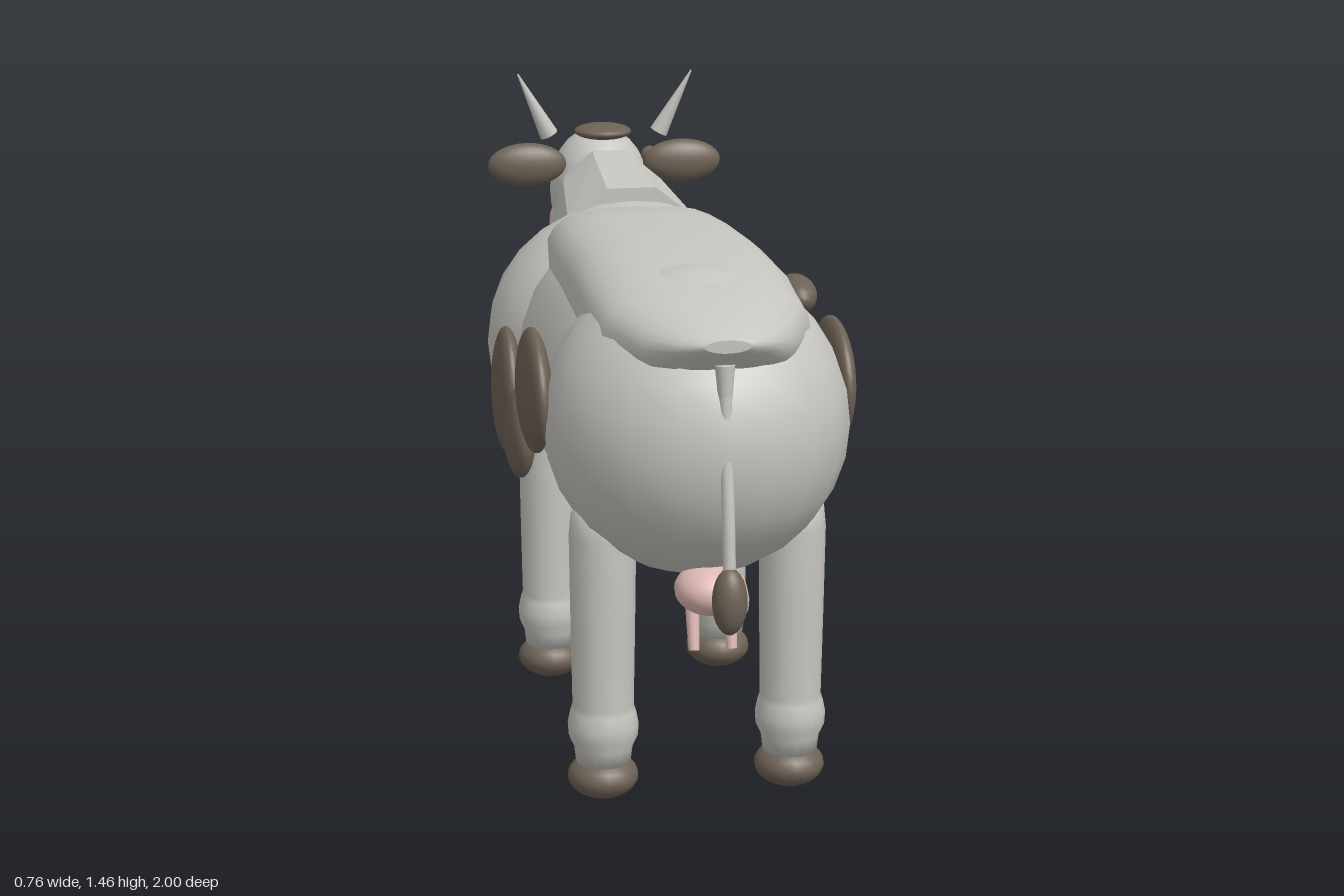
import * as THREE from 'three';

const mat = (name, color) => new THREE.MeshStandardMaterial({ name, color });

// Closed skin through superellipse sections [z, centreY, halfWidth, halfHeight, exponent, shear], z rising
function loft(sections, sides) {
  const pos = [], idx = [];
  const first = sections[0], last = sections[sections.length - 1];
  const cap = (s) => [s[0], s[1], 0.0005, 0.0005, 2, 0];
  const rings = [cap(first), first, ...sections, last, cap(last)];
  rings.forEach(([z, cy, rx, ry, e = 2, shear = 0]) => {
    for (let j = 0; j < sides; j++) {
      const a = (j / sides) * Math.PI * 2, c = Math.cos(a), s = Math.sin(a);
      const x = Math.sign(c) * Math.abs(c) ** (2 / e) * rx;
      const y = Math.sign(s) * Math.abs(s) ** (2 / e) * ry;
      pos.push(x, cy + y, z + shear * y);
    }
  });
  for (let i = 0; i < rings.length - 1; i++) {
    for (let j = 0; j < sides; j++) {
      const k = (j + 1) % sides;
      const a = i * sides + j, b = i * sides + k, c = b + sides, d = a + sides;
      idx.push(a, b, c, a, c, d);
    }
  }
  const g = new THREE.BufferGeometry();
  g.setAttribute('position', new THREE.Float32BufferAttribute(pos, 3));
  g.setIndex(idx);
  g.computeVertexNormals();
  return g;
}

export function createModel() {
  const cow = new THREE.Group();
  cow.name = 'cow';
  const hide = mat('paleHide', 0xc6c5c0);
  const brown = mat('darkBrown', 0x6e6256);
  const pink = mat('pinkSkin', 0xdfbab5);

  const add = (name, geometry, material, x = 0, y = 0, z = 0) => {
    const m = new THREE.Mesh(geometry, material);
    m.name = name;
    m.position.set(x, y, z);
    cow.add(m);
    return m;
  };
  const blob = (name, material, [x, y, z], [rx, ry, rz], w = 20, h = 14) =>
    add(name, new THREE.SphereGeometry(1, w, h).scale(rx, ry, rz), material, x, y, z);
  // Tapered rod between two points
  const rod = (name, material, from, to, r0, r1) => {
    const a = new THREE.Vector3(...from), b = new THREE.Vector3(...to);
    const d = b.clone().sub(a);
    const m = add(name, new THREE.CylinderGeometry(r1, r0, d.length(), 12), material);
    m.position.copy(a).addScaledVector(d, 0.5);
    m.quaternion.setFromUnitVectors(new THREE.Vector3(0, 1, 0), d.normalize());
    return m;
  };

  // Body masses: chest, rump, belly and the raised back
  blob('chest', hide, [0, 0.87, -0.235], [0.362, 0.335, 0.36], 20, 14);
  blob('rump', hide, [0, 0.87, 0.58], [0.34, 0.345, 0.355], 20, 14);
  add('belly', loft([
    [-0.35, 0.86, 0.24, 0.29], [-0.15, 0.86, 0.305, 0.33], [0.0, 0.86, 0.315, 0.345],
    [0.17, 0.86, 0.315, 0.352], [0.4, 0.865, 0.315, 0.34], [0.6, 0.87, 0.3, 0.335],
  ], 24), hide);
  add('back', loft([
    [-0.3, 1.08, 0.17, 0.08, 2.6], [-0.18, 1.08, 0.225, 0.125, 3], [0, 1.08, 0.235, 0.137, 3],
    [0.25, 1.08, 0.24, 0.147, 3], [0.5, 1.08, 0.245, 0.137, 2.8], [0.7, 1.08, 0.23, 0.115, 2.5],
    [0.83, 1.09, 0.165, 0.075, 2.2], [0.9, 1.105, 0.105, 0.035], [0.93, 1.112, 0.05, 0.014],
  ], 24), hide);
  add('neck', loft([
    [-0.63, 1.11, 0.14, 0.172, 2, 0.24], [-0.57, 1.1, 0.155, 0.178, 2, 0.2], [-0.26, 1.04, 0.195, 0.205],
  ], 10).toNonIndexed(), hide).geometry.computeVertexNormals();

  // Head
  blob('head', hide, [0, 1.145, -0.755], [0.13, 0.165, 0.158], 18, 14);
  blob('muzzle', pink, [0, 1.035, -0.9], [0.112, 0.096, 0.098]);
  blob('foreheadPatch', brown, [0, 1.307, -0.695], [0.074, 0.02, 0.08]);

  // Tail, tuft and udder
  const tailPath = new THREE.CatmullRomCurve3([
    [1.0, 0.905], [0.88, 0.918], [0.75, 0.942], [0.6, 0.96],
  ].map(([y, z]) => new THREE.Vector3(0, y, z)));
  add('tail', new THREE.TubeGeometry(tailPath, 14, 0.014, 10), hide);
  rod('tailRoot', hide, [0, 0.98, 0.902], [0, 1.065, 0.896], 0.014, 0.022);
  blob('tailTuft', brown, [0, 0.567, 0.962], [0.038, 0.074, 0.038]);
  blob('udder', pink, [0, 0.53, 0.755], [0.08, 0.057, 0.085]);

  // Leg profile with a rounded top and a swollen fetlock
  const legProfile = [
    [0.001, 0.08], [0.062, 0.09], [0.066, 0.125], [0.078, 0.15], [0.08, 0.18], [0.074, 0.21],
    [0.069, 0.225], [0.072, 0.4], [0.075, 0.62], [0.07, 0.67], [0.045, 0.695], [0.001, 0.705],
  ].map(([r, y]) => new THREE.Vector2(r, y));

  // Flank patches: [y, z, halfHeight, halfLength]
  const patches = [[0.915, 0.445, 0.14, 0.165], [0.75, 0.195, 0.105, 0.1], [0.8, -0.015, 0.155, 0.13]];

  for (const s of [1, -1]) {
    for (const [end, z] of [['front', -0.22], ['rear', 0.608]]) {
      add(end + 'Leg', new THREE.LatheGeometry(legProfile, 14), hide, s * 0.215, 0, z);
      blob(end + 'Hoof', brown, [s * 0.215, 0.054, z - 0.005], [0.08, 0.051, 0.082]);
    }
    for (const [y, z, ry, rz] of patches) {
      blob('flankPatch', brown, [s * 0.343, y, z], [0.036, ry, rz], 24, 16);
    }
    blob('ear', brown, [s * 0.202, 1.23, -0.665], [0.102, 0.056, 0.036]);
    blob('eye', brown, [s * 0.135, 1.228, -0.758], [0.025, 0.026, 0.025], 14, 10);
    blob('nostril', brown, [s * 0.05, 1.085, -0.974], [0.018, 0.013, 0.013], 12, 8);
    rod('horn', hide, [s * 0.143, 1.305, -0.675], [s * 0.225, 1.465, -0.657], 0.024, 0.002);
    rod('teat', pink, [s * 0.042, 0.4, 0.783], [s * 0.042, 0.5, 0.76], 0.012, 0.016);
    blob('neckBead', pink, [s * 0.18, 1.005, -0.517], [0.018, 0.02, 0.018], 12, 8);
  }

  // Single patch beside the spine
  blob('backPatch', brown, [0.245, 1.12, 0.485], [0.045, 0.044, 0.083]);

  return cow;
}
